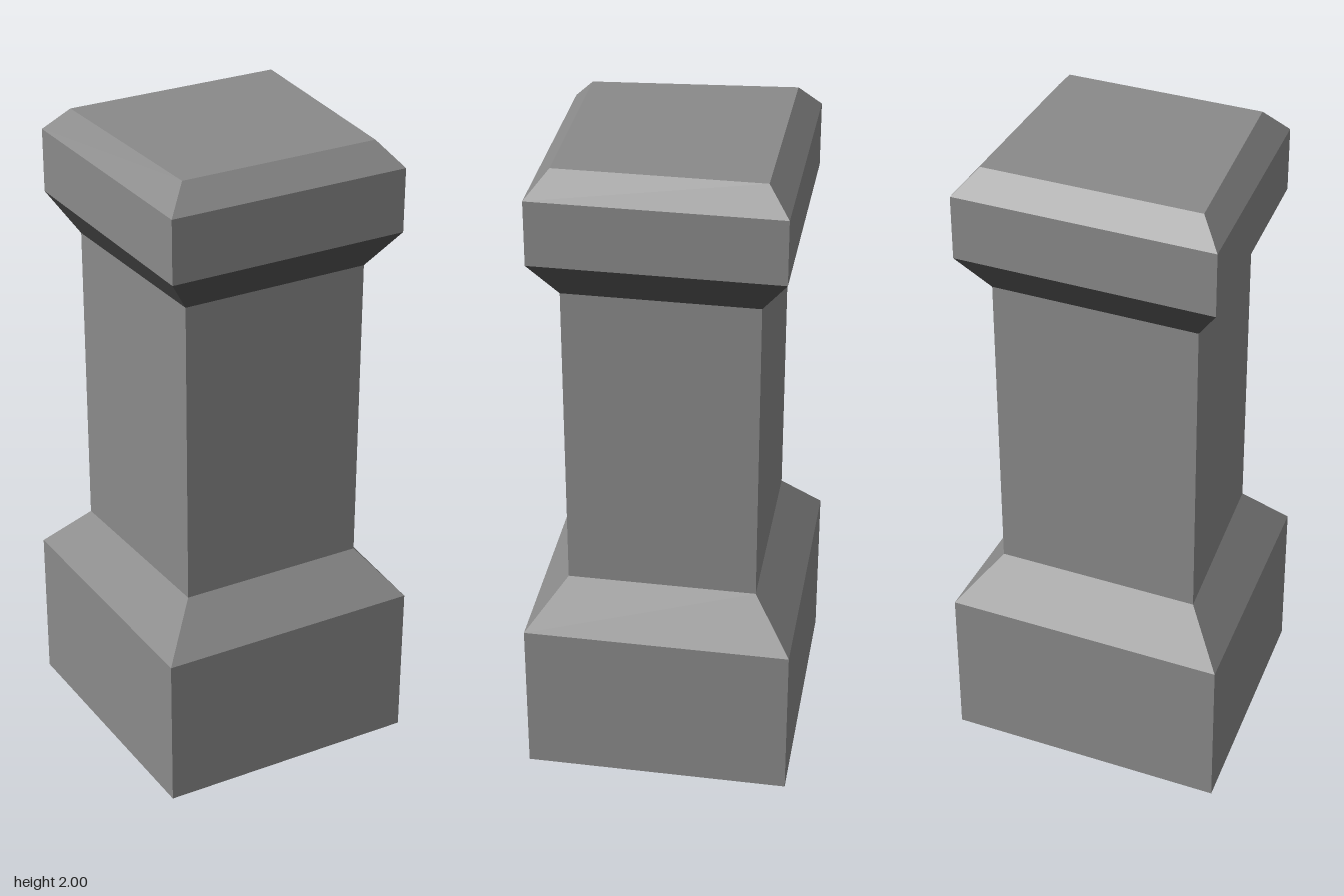
import * as THREE from 'three';

// Four corners of the skewed plan at height y, pulled in by inset
// (the -x side runs at a slight angle)
function section(y, inset) {
  return [
    [-0.377 + inset, y, 0.404 - inset],
    [0.432 - inset, y, 0.404 - inset],
    [0.432 - inset, y, -0.404 + inset],
    [-0.432 + inset, y, -0.404 + inset],
  ].map((p) => new THREE.Vector3(...p));
}

// Four walls joining each section to the next
function walls(levels) {
  const rings = levels.map(([y, inset]) => section(y, inset));
  const quads = [];
  for (let i = 0; i < rings.length - 1; i++) {
    for (let j = 0; j < 4; j++) {
      const k = (j + 1) % 4;
      quads.push([rings[i][j], rings[i][k], rings[i + 1][k], rings[i + 1][j]]);
    }
  }
  return quads;
}

// Mesh of flat-shaded quads, one normal for each quad
function quadMesh(name, material, quads) {
  const points = [];
  const normals = [];
  for (const [a, b, c, d] of quads) {
    const normal = c.clone().sub(a).cross(d.clone().sub(b)).normalize();
    for (const p of [a, b, c, a, c, d]) {
      points.push(...p.toArray());
      normals.push(...normal.toArray());
    }
  }
  const geometry = new THREE.BufferGeometry();
  geometry.setAttribute('position', new THREE.Float32BufferAttribute(points, 3));
  geometry.setAttribute('normal', new THREE.Float32BufferAttribute(normals, 3));
  const mesh = new THREE.Mesh(geometry, material);
  mesh.name = name;
  return mesh;
}

export function createModel() {
  const stone = new THREE.MeshStandardMaterial({ color: 0x8a8a8a });
  stone.name = 'grey stone';
  const darkStone = new THREE.MeshStandardMaterial({ color: 0x525252 });
  darkStone.name = 'dark grey stone';

  const pillar = new THREE.Group();
  pillar.name = 'stonePillar';
  pillar.add(
    // Dark underside
    quadMesh('underside', darkStone, [section(0, 0).reverse()]),
    // Plinth with its sloped shoulder
    quadMesh('base', stone, walls([[0, 0], [0.495, 0], [0.638, 0.118]])),
    // Plain square shaft
    quadMesh('shaft', stone, walls([[0.638, 0.118], [1.61, 0.118]])),
    // Dark flare below the cap
    quadMesh('capFlare', darkStone, walls([[1.61, 0.118], [1.73, 0.04]])),
    // Cap with a bevelled top
    quadMesh('cap', stone, [
      ...walls([[1.73, 0.04], [1.926, 0.04], [2, 0.104]]),
      section(2, 0.104),
    ]),
  );
  return pillar;
}
